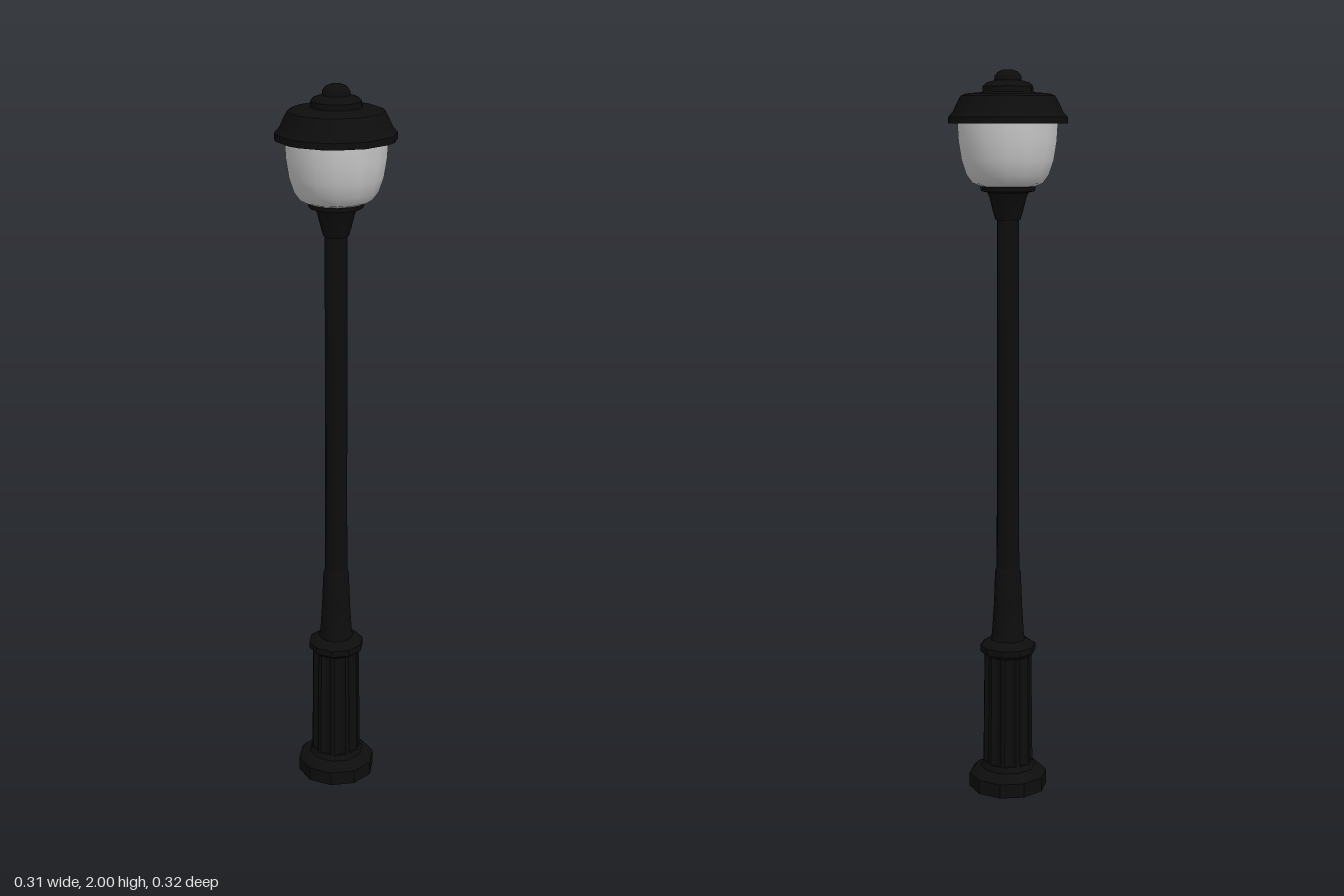
import * as THREE from 'three';
import { toCreasedNormals } from 'three/addons/utils/BufferGeometryUtils.js';

const iron = new THREE.MeshStandardMaterial({ color: 0x0d0d0d });
iron.name = 'black iron';
const glass = new THREE.MeshStandardMaterial({ color: 0xcacaca });
glass.name = 'frosted glass';

// Turn a [radius, height] profile, listed from bottom to top
function turned(name, profile, sides, material, crease = 0.6, reshape) {
  const points = profile.map(([r, y]) => new THREE.Vector2(r, y));
  const geometry = new THREE.LatheGeometry(points, sides);
  if (reshape) {
    const p = geometry.attributes.position;
    for (let i = 0; i < p.count; i++) {
      const column = Math.floor(i / points.length) % sides;
      const r = Math.hypot(p.getX(i), p.getZ(i));
      const [angle, scale] = reshape(column, p.getY(i));
      p.setX(i, Math.sin(angle) * r * scale);
      p.setZ(i, Math.cos(angle) * r * scale);
    }
  }
  const mesh = new THREE.Mesh(toCreasedNormals(geometry, crease), material);
  mesh.name = name;
  return mesh;
}

export function createModel() {
  const lamp = new THREE.Group();
  lamp.name = 'streetLamp';

  // Foot with a sloped upper edge
  lamp.add(turned('foot', [
    [0, 0], [0.11, 0], [0.11, 0.04], [0.098, 0.052], [0.078, 0.06], [0.07, 0.075], [0, 0.075],
  ], 10, iron));

  // Fluted pedestal: ten ribs with shallow grooves between them
  const ribs = 10;
  lamp.add(turned('flutedPedestal', [
    [0, 0.06], [0.07, 0.06], [0.066, 0.4], [0, 0.4],
  ], ribs * 4, iron, 0.4, (column) => {
    const groove = column % 4 >= 2;
    return [(column - 0.5) / (ribs * 4) * Math.PI * 2, groove ? 0.88 : 1];
  }));

  // Collar on the pedestal
  lamp.add(turned('pedestalCollar', [
    [0, 0.39], [0.066, 0.39], [0.078, 0.4], [0.078, 0.418], [0.068, 0.425], [0.05, 0.435], [0, 0.435],
  ], 10, iron));

  // Tapered sleeve and pole
  lamp.add(turned('poleSleeve', [
    [0.05, 0.43], [0.045, 0.45], [0.04, 0.53], [0.036, 0.63], [0.031, 0.645],
  ], 12, iron));
  lamp.add(turned('pole', [
    [0.032, 0.63], [0.031, 0.84], [0.03, 1.62],
  ], 12, iron));

  // Flared holder under the globe
  lamp.add(turned('globeHolder', [
    [0, 1.605], [0.034, 1.605], [0.04, 1.625], [0.05, 1.665], [0.056, 1.678],
    [0.073, 1.682], [0.075, 1.7], [0.066, 1.704], [0, 1.704],
  ], 12, iron));

  // Globe
  lamp.add(turned('globe', [
    [0, 1.693], [0.075, 1.695], [0.096, 1.703], [0.113, 1.726], [0.126, 1.765],
    [0.134, 1.815], [0.137, 1.868], [0, 1.868],
  ], 14, glass, 0.7));

  // Stepped hood; its rim has uneven corners, mirrored front to back and side to side
  const quarter = [0, 29, 41, 64, 76.6];
  const half = [...quarter, ...quarter.slice(1).reverse().map((a) => 180 - a)];
  const corners = [...half, ...half.map((a) => a + 180)];
  lamp.add(turned('hood', [
    [0, 1.86], [0.16, 1.86], [0.159, 1.877], [0.146, 1.892], [0.137, 1.912],
    [0.126, 1.932], [0.112, 1.938], [0.066, 1.942], [0, 1.942],
  ], corners.length, iron, 0.6, (column) => [THREE.MathUtils.degToRad(corners[column]), 1]));

  // Cap and finial
  lamp.add(turned('hoodCap', [
    [0.068, 1.938], [0.067, 1.957], [0.058, 1.966], [0.038, 1.972], [0, 1.972],
  ], 16, iron));
  lamp.add(turned('finial', [
    [0.037, 1.968], [0.036, 1.983], [0.028, 1.994], [0.014, 2], [0, 2],
  ], 12, iron));

  return lamp;
}
